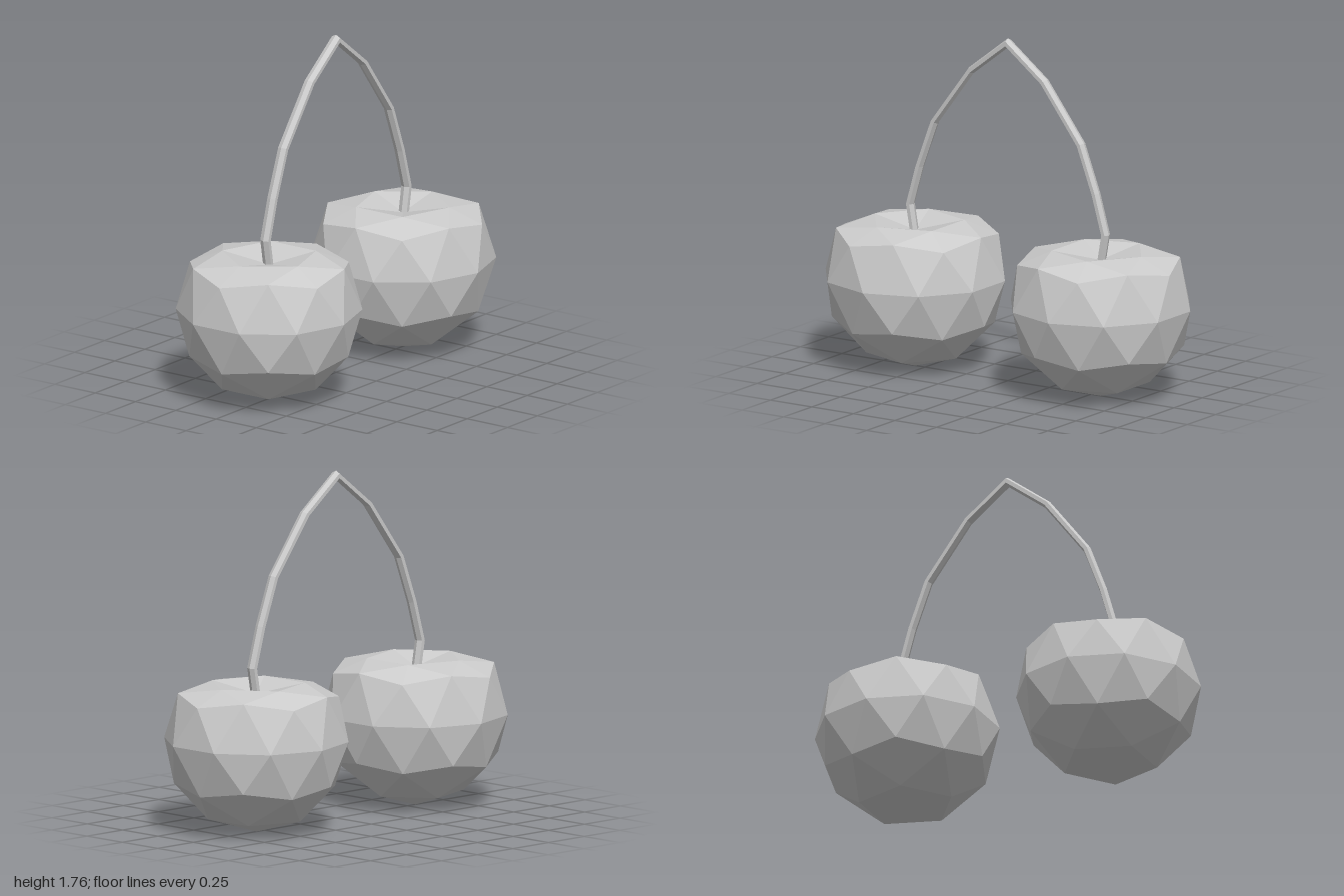
import * as THREE from 'three';

const material = new THREE.MeshStandardMaterial({ color: 0xcccccc, flatShading: true });
const R = 0.465;

// Faceted sphere standing on a pole, its top cap pressed down into a dimple
function fruitGeometry() {
  const geo = new THREE.IcosahedronGeometry(R, 1);
  geo.rotateZ(Math.atan(2 / (1 + Math.sqrt(5))));
  geo.translate(0, R, 0);
  const p = geo.attributes.position;
  for (let i = 0; i < p.count; i++) {
    const y = p.getY(i);
    if (y > 1.95 * R) p.setY(i, 0.697); // dimple bottom
    else if (y > 1.75 * R) p.setY(i, 0.746); // rim
  }
  geo.computeVertexNormals();
  return geo;
}

// Mitred sweep of a polygon along a path in the xy plane
function stemGeometry(path, radius, radiusZ, sides) {
  const pos = [], index = [];
  const last = path.length - 1;
  path.forEach((c, i) => {
    const into = path[Math.max(i, 1)].clone().sub(path[Math.max(i, 1) - 1]).normalize();
    const out = path[Math.min(i + 1, last)].clone().sub(path[Math.min(i, last - 1)]).normalize();
    const t = into.clone().add(out).normalize();
    const miter = 1 / t.dot(out);
    for (let j = 0; j < sides; j++) {
      const ang = (j / sides) * Math.PI * 2;
      const n = Math.cos(ang) * radius * miter;
      pos.push(c.x - t.y * n, c.y + t.x * n, Math.sin(ang) * radiusZ);
      if (i < last) {
        const k = i * sides + j, l = i * sides + (j + 1) % sides;
        index.push(k, l, k + sides, l, l + sides, k + sides);
      }
    }
  });
  // End caps
  const end = last * sides;
  for (let j = 1; j < sides - 1; j++) {
    index.push(0, j + 1, j, end, end + j, end + j + 1);
  }
  const geo = new THREE.BufferGeometry();
  geo.setAttribute('position', new THREE.Float32BufferAttribute(pos, 3));
  geo.setIndex(index);
  geo.computeVertexNormals();
  return geo;
}

export function createModel() {
  const group = new THREE.Group();
  group.name = 'cherries';

  // Pair of fruits, mirrored about x = 0
  const fruit = fruitGeometry();
  for (const side of [-1, 1]) {
    const mesh = new THREE.Mesh(fruit, material);
    mesh.name = side > 0 ? 'leftFruit' : 'rightFruit';
    mesh.position.x = side * 0.558;
    if (side > 0) mesh.rotation.y = Math.PI;
    group.add(mesh);
  }

  // One arched stem joining both fruits
  const half = [[0.56, 0.67], [0.588, 0.828], [0.53, 1.03], [0.44, 1.27], [0.22, 1.562]];
  const path = [
    ...half.map(([x, y]) => new THREE.Vector2(-x, y)),
    new THREE.Vector2(0, 1.732),
    ...half.slice().reverse().map(([x, y]) => new THREE.Vector2(x, y)),
  ];
  const stem = new THREE.Mesh(stemGeometry(path, 0.019, 0.029, 6), material);
  stem.name = 'stem';
  group.add(stem);

  return group;
}
